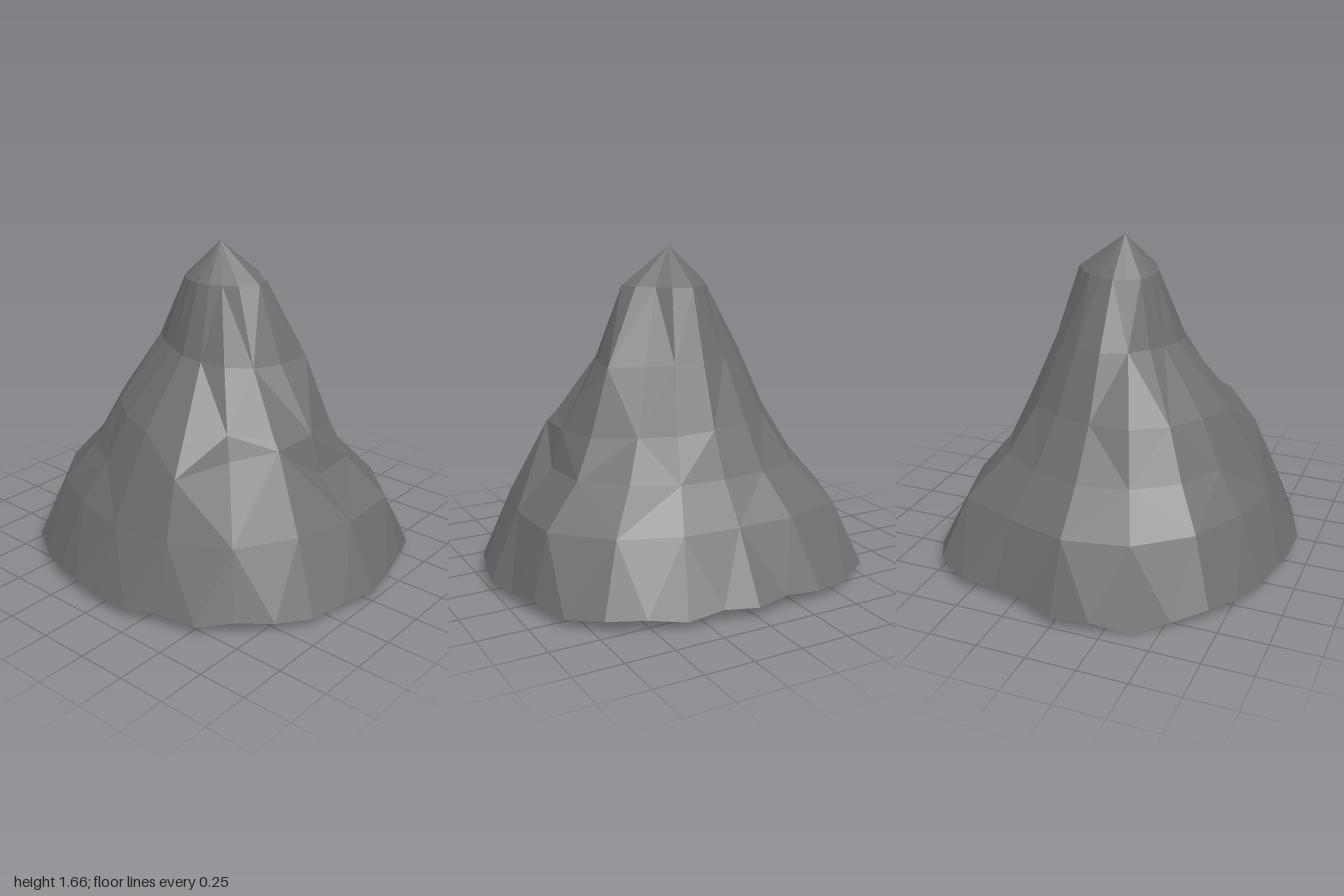
import * as THREE from 'three';

// Rim outline: 32 radii, starting at +x and turning toward +z (front)
const RIM = [
  0.91, 0.89, 0.93, 0.96, 1.0, 1.02, 0.995, 0.98, 1.0, 0.985, 0.985, 0.975, 0.95, 0.955, 0.92, 0.93,
  0.91, 0.91, 0.92, 0.94, 0.97, 0.975, 0.985, 1.0, 0.99, 0.935, 0.945, 1.01, 1.035, 1.0, 0.955, 0.895,
];
// Strata above the rim: height, rise toward the back, 16 radii
const RINGS = [
  [0.39, 0, [0.72, 0.76, 0.83, 0.90, 0.85, 0.83, 0.83, 0.80, 0.78, 0.78, 0.82, 0.85, 0.85, 0.82, 0.88, 0.78]],
  [0.59, 0, [0.58, 0.61, 0.63, 0.69, 0.66, 0.63, 0.63, 0.68, 0.67, 0.64, 0.66, 0.67, 0.67, 0.65, 0.66, 0.61]],
  [0.81, 0.03, [0.48, 0.49, 0.50, 0.59, 0.60, 0.58, 0.51, 0.56, 0.55, 0.52, 0.52, 0.53, 0.50, 0.50, 0.50, 0.50]],
  [1.13, 0.025, [0.37, 0.36, 0.37, 0.46, 0.40, 0.37, 0.33, 0.29, 0.28, 0.26, 0.28, 0.32, 0.36, 0.36, 0.35, 0.36]],
  [1.48, 0, [0.26, 0.23, 0.21, 0.25, 0.26, 0.21, 0.17, 0.16, 0.16, 0.16, 0.17, 0.18, 0.19, 0.19, 0.20, 0.22]],
];
// Shelf on the front right: corner heights that leave their stratum, by ring and side
const SHELF = [
  { 5: 0.4 },
  { 5: 0.77, 6: 0.745, 7: 0.66 },
  { 5: 0.82, 6: 0.83 },
  {},
  {},
];
const SIDES = 16;
const APEX = [0.01, 1.665, 0];

function polar(radius, turn, y) {
  const angle = turn * Math.PI * 2;
  return [radius * Math.cos(angle), y, radius * Math.sin(angle)];
}

function mountainGeometry() {
  const positions = [];
  const indices = [];

  // Ragged rim, with one low corner at the back
  RIM.forEach((radius, i) => {
    const y = i === 22 ? 0 : 0.055 + 0.015 * Math.sin(i * 2.3);
    positions.push(...polar(radius, i / RIM.length, y));
  });
  RINGS.forEach(([height, rise, radii], j) => {
    radii.forEach((radius, k) => {
      const turn = k / SIDES;
      const y = SHELF[j][k] ?? height - rise * Math.sin(turn * Math.PI * 2);
      positions.push(...polar(radius, turn, y));
    });
  });
  const apex = positions.length / 3;
  positions.push(...APEX);

  const start = (j) => RIM.length + j * SIDES;
  for (let k = 0; k < SIDES; k++) {
    const next = (k + 1) % SIDES;

    // Skirt: two rim edges for each side of the first ring
    const r0 = 2 * k, r1 = r0 + 1, r2 = 2 * next;
    const s0 = start(0) + k, s1 = start(0) + next;
    indices.push(r0, s0, r1, r1, s0, s1, r1, s1, r2);

    // Slopes: alternate the diagonals for a chipped, rocky look
    for (let j = 0; j < RINGS.length - 1; j++) {
      const a = start(j) + k, b = start(j) + next;
      const c = a + SIDES, d = b + SIDES;
      if ((j + k) % 2) indices.push(a, c, b, b, c, d);
      else indices.push(a, c, d, a, d, b);
    }

    // Peak
    const top = start(RINGS.length - 1);
    indices.push(top + k, apex, top + next);
  }

  const geometry = new THREE.BufferGeometry();
  geometry.setAttribute('position', new THREE.Float32BufferAttribute(positions, 3));
  geometry.setIndex(indices);
  const faceted = geometry.toNonIndexed();
  faceted.computeVertexNormals();
  return faceted;
}

export function createModel() {
  const group = new THREE.Group();
  group.name = 'mountain';
  // Hollow shell, open underneath
  const rock = new THREE.Mesh(
    mountainGeometry(),
    new THREE.MeshStandardMaterial({ color: 0x6e6e6e, flatShading: true, side: THREE.DoubleSide })
  );
  rock.name = 'rockShell';
  group.add(rock);
  return group;
}
